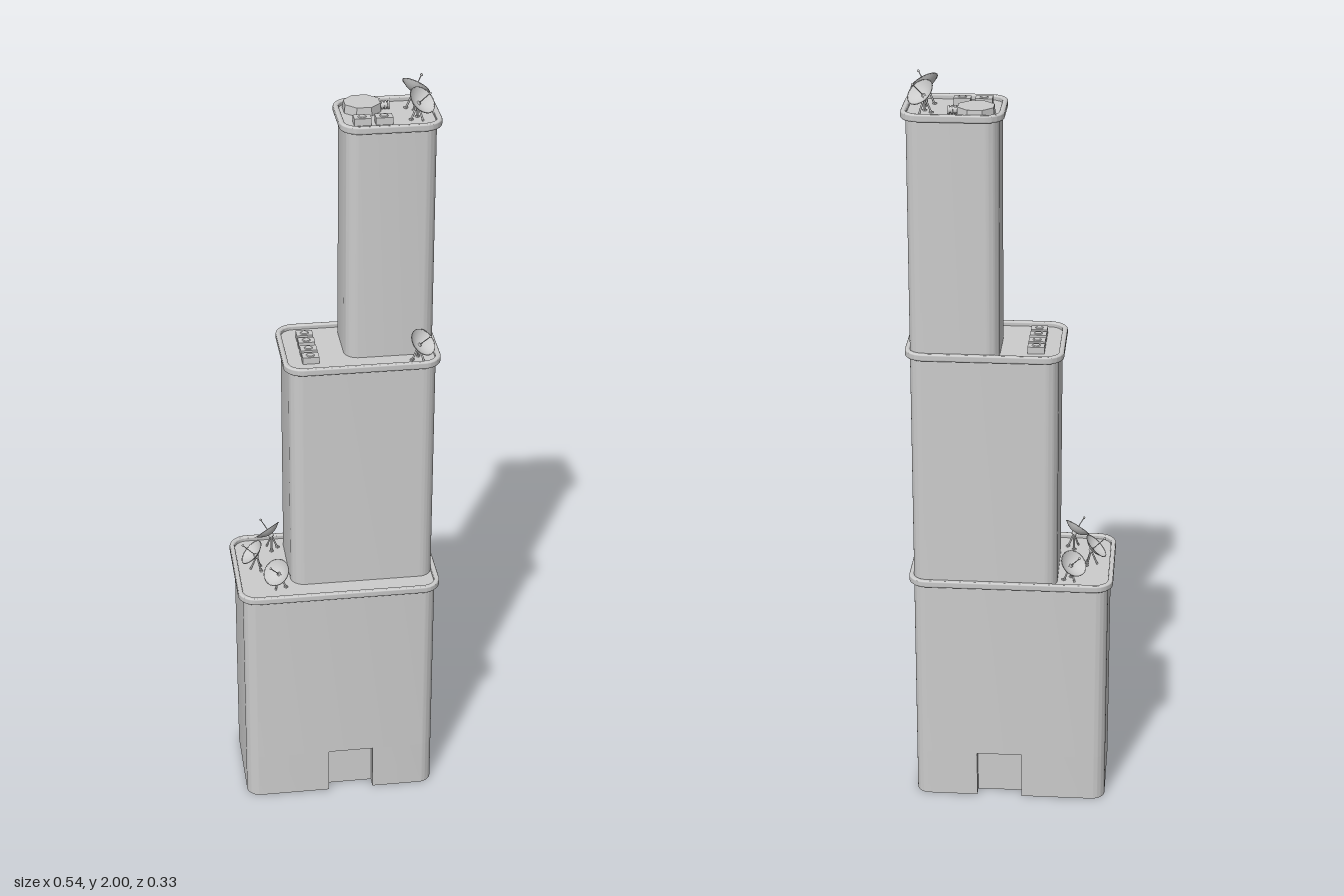
import * as THREE from 'three';
import { toCreasedNormals } from 'three/addons/utils/BufferGeometryUtils.js';

const material = new THREE.MeshStandardMaterial({ color: 0xcccccc });
const thin = new THREE.MeshStandardMaterial({ color: 0xcccccc, side: THREE.DoubleSide });

function add(parent, name, geometry, x = 0, y = 0, z = 0, mat = material) {
  const mesh = new THREE.Mesh(geometry, mat);
  mesh.name = name;
  mesh.position.set(x, y, z);
  parent.add(mesh);
  return mesh;
}

// Rounded footprint; plan y is -z. Optional door notches in front and back walls.
function footprint({ x0, x1, z0, z1 }, grow = 0, notch = null) {
  const l = x0 - grow, r = x1 + grow, b = -z1 - grow, t = -z0 + grow, c = 0.037 + grow;
  const s = new THREE.Shape();
  s.moveTo(l + c, b);
  if (notch) {
    s.lineTo(notch.x0, b); s.lineTo(notch.x0, b + notch.depth);
    s.lineTo(notch.x1, b + notch.depth); s.lineTo(notch.x1, b);
  }
  s.lineTo(r - c, b);
  s.absarc(r - c, b + c, c, -Math.PI / 2, 0);
  s.lineTo(r, t - c);
  s.absarc(r - c, t - c, c, 0, Math.PI / 2);
  if (notch) {
    s.lineTo(notch.x1, t); s.lineTo(notch.x1, t - notch.depth);
    s.lineTo(notch.x0, t - notch.depth); s.lineTo(notch.x0, t);
  }
  s.lineTo(l + c, t);
  s.absarc(l + c, t - c, c, Math.PI / 2, Math.PI);
  s.lineTo(l, b + c);
  s.absarc(l + c, b + c, c, Math.PI, Math.PI * 1.5);
  return s;
}

function extrudeUp(shape, depth, bevel = 0) {
  const g = new THREE.ExtrudeGeometry(shape, {
    depth, curveSegments: 10, bevelEnabled: bevel > 0,
    bevelSize: bevel, bevelThickness: bevel, bevelSegments: 3,
  });
  g.rotateX(-Math.PI / 2);
  return toCreasedNormals(g, 0.6);
}

// Cylinder between two points
function strut(parent, name, a, b, radius) {
  const from = new THREE.Vector3(...a), dir = new THREE.Vector3(...b).sub(from);
  const mesh = add(parent, name, new THREE.CylinderGeometry(radius, radius, dir.length(), 8));
  mesh.position.copy(from).addScaledVector(dir, 0.5);
  mesh.quaternion.setFromUnitVectors(new THREE.Vector3(0, 1, 0), dir.normalize());
}

// Dish on a three-legged mount, origin on the roof, facing local +z and up
function satelliteDish(x, roof, z, azimuth) {
  const dish = new THREE.Group();
  dish.name = 'satelliteDish';
  dish.position.set(x, roof, z);
  dish.rotation.y = azimuth;
  const hub = 0.043;
  const head = new THREE.Group();
  head.name = 'dishHead';
  head.position.set(0, hub, -0.011);
  head.rotation.x = Math.PI / 4;
  dish.add(head);
  const bowl = [];
  for (let i = 0; i <= 7; i++) bowl.push(new THREE.Vector2(0.037 * i / 7, 0.016 * (i / 7) ** 2));
  add(head, 'bowl', new THREE.LatheGeometry(bowl, 24), 0, 0, 0, thin);
  const rim = add(head, 'bowlRim', new THREE.TorusGeometry(0.037, 0.001, 6, 24), 0, 0.016, 0);
  rim.rotation.x = Math.PI / 2;
  add(head, 'feedBase', new THREE.CylinderGeometry(0.003, 0.006, 0.005, 12), 0, 0.0025, 0);
  add(head, 'feedArm', new THREE.CylinderGeometry(0.0012, 0.0012, 0.047, 8), 0, 0.0245, 0);
  add(head, 'feedHorn', new THREE.SphereGeometry(0.0035, 10, 8), 0, 0.048, 0);
  add(head, 'bracket', new THREE.CylinderGeometry(0.008, 0.006, 0.008, 12), 0, -0.003, 0);
  for (const side of [-1, 1]) {
    strut(dish, 'leg', [0, hub - 0.003, -0.014], [side * 0.013, 0, -0.024], 0.0025);
    add(dish, 'foot', new THREE.BoxGeometry(0.008, 0.004, 0.008), side * 0.013, 0.002, -0.024);
  }
  strut(dish, 'leg', [0, hub - 0.004, -0.013], [0, 0, 0.004], 0.0025);
  return dish;
}

// Ventilation box with a low fan cap
function roofUnit(parent, x, roof, z) {
  add(parent, 'roofUnit', new THREE.BoxGeometry(0.043, 0.018, 0.03), x, roof + 0.009, z);
  add(parent, 'fanCap', new THREE.CylinderGeometry(0.009, 0.011, 0.002, 16), x, roof + 0.019, z);
}

export function createModel() {
  const model = new THREE.Group();
  model.name = 'steppedTower';
  const tiers = [
    { name: 'lowerTier', x0: -0.259, x1: 0.258, z0: -0.151, z1: 0.151, y0: 0.13, y1: 0.66 },
    { name: 'middleTier', x0: -0.124, x1: 0.258, z0: -0.151, z1: 0.09, y0: 0.64, y1: 1.304 },
    { name: 'upperTier', x0: 0.027, x1: 0.258, z0: -0.151, z1: 0.031, y0: 1.28, y1: 1.929 },
  ];
  const drop = 0.012;

  // Entrance storey with recessed doorways front and back
  add(model, 'entranceStorey',
    extrudeUp(footprint(tiers[0], 0, { x0: -0.032, x1: 0.09, depth: 0.03 }), 0.13));

  // Tower shafts, each with a rounded parapet around its roof
  for (const t of tiers) {
    add(model, t.name, extrudeUp(footprint(t), t.y1 - drop - t.y0), 0, t.y0, 0);
    const ring = footprint(t, 0.008);
    ring.holes.push(footprint(t, 0.004));
    add(model, t.name + 'Parapet', extrudeUp(ring, 0.01, 0.005), 0, t.y1 - 0.015, 0);
  }
  const [roof1, roof2, roof3] = tiers.map((t) => t.y1 - drop);

  // Satellite dishes
  const q = Math.PI / 4;
  for (const [x, y, z, a] of [
    [-0.167, roof1, -0.114, -3 * q], [-0.222, roof1, -0.005, -2 * q], [-0.167, roof1, 0.104, -q],
    [0.222, roof2, 0.07, q], [0.222, roof3, -0.108, 3 * q], [0.222, roof3, -0.012, q],
  ]) model.add(satelliteDish(x, y, z, a));

  // Roof units
  for (const z of [-0.093, -0.052, -0.007, 0.034]) roofUnit(model, -0.064, roof2, z);
  for (const x of [0.073, 0.127]) roofUnit(model, x, roof3, -0.013);

  // Octagonal tank with a ribbed pipe
  const tank = new THREE.CylinderGeometry(0.048, 0.05, 0.022, 8).toNonIndexed();
  tank.rotateY(Math.PI / 8);
  tank.computeVertexNormals();
  add(model, 'octagonalTank', tank, 0.085, roof3 + 0.011, -0.105);
  const pipe = add(model, 'tankPipe', new THREE.CylinderGeometry(0.008, 0.008, 0.03, 16), 0.139, roof3 + 0.01, -0.104);
  pipe.rotation.z = Math.PI / 2;
  for (const x of [0.136, 0.144, 0.152]) {
    const rib = add(model, 'pipeRib', new THREE.CylinderGeometry(0.011, 0.011, 0.005, 16), x, roof3 + 0.01, -0.104);
    rib.rotation.z = Math.PI / 2;
  }
  return model;
}
